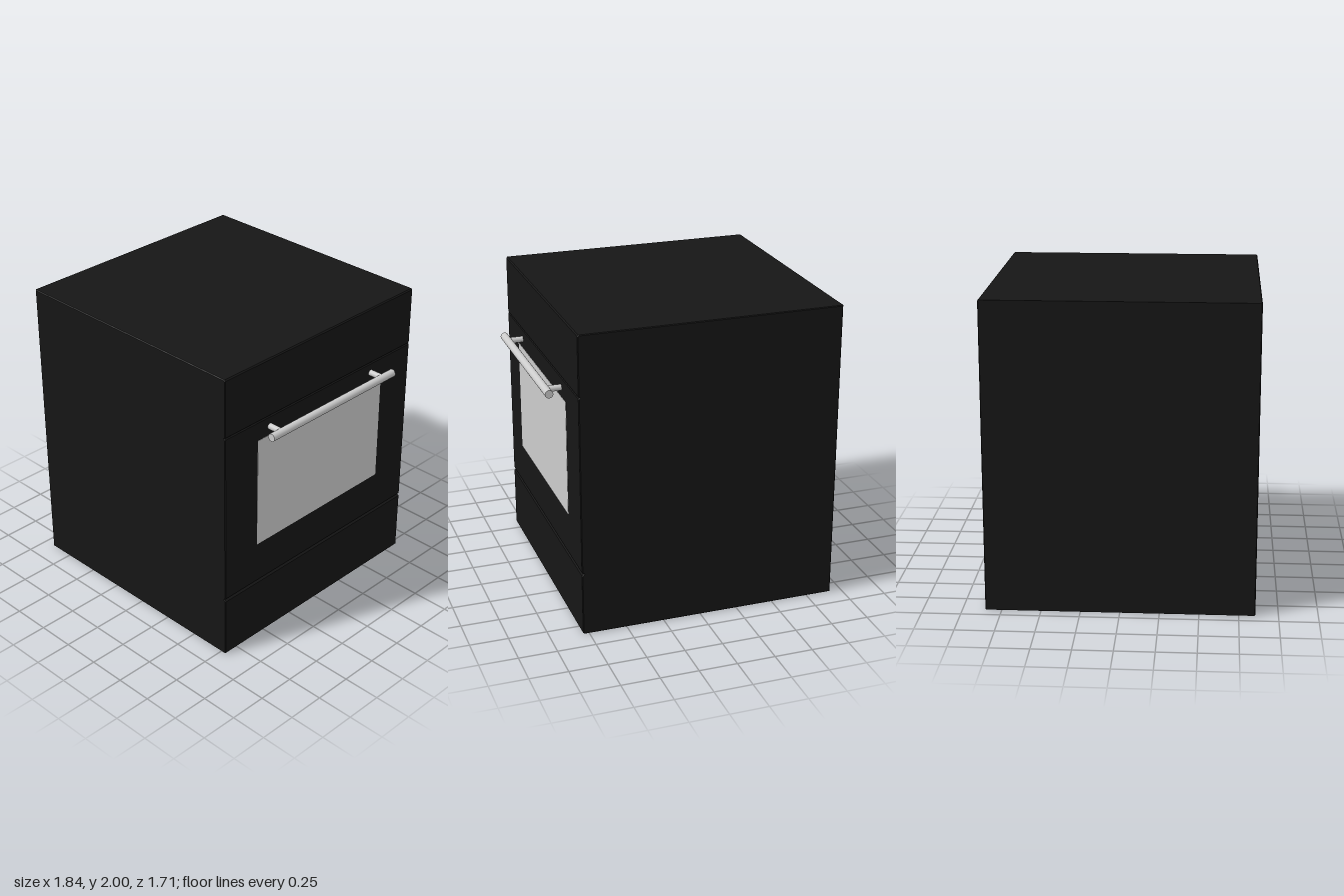
import * as THREE from 'three';

const BACK = -0.92, FRONT = 0.79, HALF_WIDTH = 0.855, HEIGHT = 2;

export function createModel() {
  const group = new THREE.Group();
  const black = new THREE.MeshStandardMaterial({ color: 0x161616 });
  const steel = new THREE.MeshStandardMaterial({ color: 0xcccccc });

  const add = (name, geometry, material, x, y, z) => {
    const mesh = new THREE.Mesh(geometry, material);
    mesh.name = name;
    mesh.position.set(x, y, z);
    group.add(mesh);
    return mesh;
  };

  // Cabinet: side profile with V grooves parting drawer, door and control panel
  const profile = new THREE.Shape();
  profile.moveTo(BACK, 0);
  profile.lineTo(FRONT - 0.008, 0);
  profile.lineTo(FRONT, 0.008);
  for (const [y, r] of [[0.425, 0.012], [1.605, 0.007]]) {
    profile.lineTo(FRONT, y - r);
    profile.lineTo(FRONT - r, y);
    profile.lineTo(FRONT, y + r);
  }
  profile.lineTo(FRONT, HEIGHT - 0.008);
  profile.lineTo(FRONT - 0.008, HEIGHT);
  profile.lineTo(BACK, HEIGHT);
  profile.closePath();
  const bevel = 0.005;
  const cabinet = new THREE.ExtrudeGeometry(profile, {
    depth: 2 * (HALF_WIDTH - bevel), bevelEnabled: true, bevelSegments: 1,
    bevelSize: bevel, bevelThickness: bevel, bevelOffset: -bevel,
  });
  add('cabinet', cabinet, black, 0, 0, bevel - HALF_WIDTH);

  // Door window, a thin pane just proud of the door
  add('window', new THREE.BoxGeometry(0.01, 0.76, 1.15), steel, FRONT - 0.003, 1.095, 0);

  // Handle bar and its two posts
  const bar = add('handleBar', new THREE.CylinderGeometry(0.026, 0.026, 1.13, 32), steel, 0.891, 1.535, 0);
  bar.rotation.x = Math.PI / 2;
  for (const side of [-1, 1]) {
    const post = add('handlePost', new THREE.CylinderGeometry(0.02, 0.02, 0.1, 24), steel, 0.83, 1.535, side * 0.47);
    post.rotation.z = Math.PI / 2;
  }
  return group;
}
